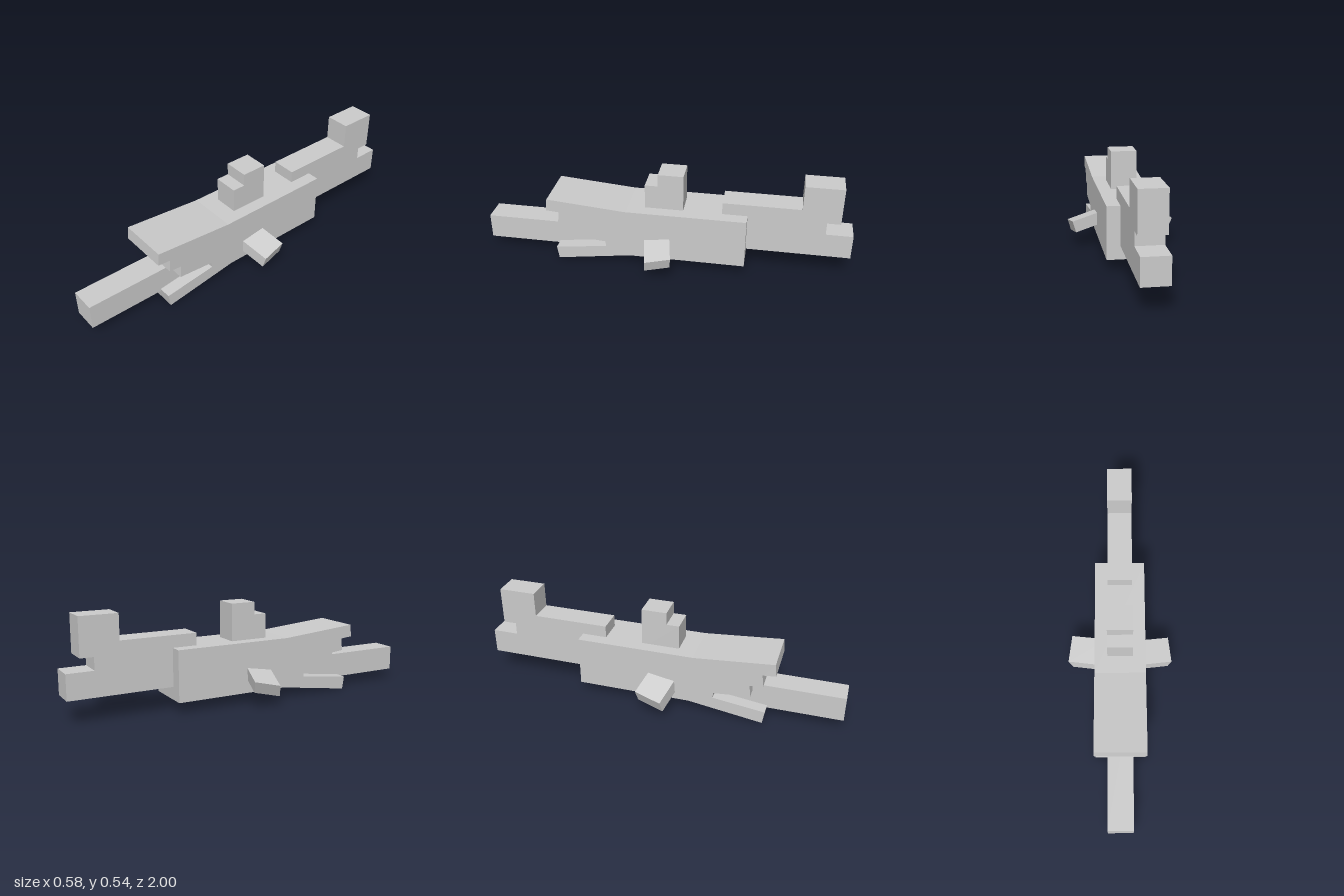
import * as THREE from 'three';

const material = new THREE.MeshStandardMaterial({ color: 0xcccccc, flatShading: true });

// Side profile of [z, y] points, extruded across x and centred on x = 0
function slab(name, halfWidth, points) {
  const shape = new THREE.Shape(points.map(([z, y]) => new THREE.Vector2(z, y)));
  const geometry = new THREE.ExtrudeGeometry(shape, { depth: halfWidth * 2, bevelEnabled: false });
  geometry.translate(0, 0, -halfWidth).rotateY(-Math.PI / 2);
  const mesh = new THREE.Mesh(geometry, material);
  mesh.name = name;
  return mesh;
}

// Slanted block given by one outer corner and the three edges leaving it
function slantedBlock(name, corner, u, v, w) {
  const [c, a, b, d] = [corner, u, v, w].map((p) => new THREE.Vector3(...p));
  const geometry = new THREE.BoxGeometry(1, 1, 1).translate(0.5, 0.5, 0.5);
  geometry.applyMatrix4(new THREE.Matrix4().makeBasis(a, b, d).setPosition(c));
  const mesh = new THREE.Mesh(geometry, material);
  mesh.name = name;
  return mesh;
}

export function createModel() {
  const group = new THREE.Group();
  const wide = 0.137, narrow = 0.068;

  // Body with open, stepped jaws at the front
  group.add(slab('body', wide, [
    [-0.445, 0.06], [0.18, 0.06],
    [0.586, 0.0], [0.597, 0.07], [0.313, 0.107],
    [0.316, 0.137], [0.514, 0.154], [0.507, 0.222],
    [0.577, 0.229], [0.57, 0.297], [0.639, 0.303],
    [0.632, 0.371], [0.2, 0.335], [-0.445, 0.335],
  ]));

  // Barrel reaching out of the jaws
  group.add(slab('barrel', narrow, [[0.25, 0.056], [1, 0.056], [1, 0.193], [0.25, 0.193]]));

  // Stepped sight on top of the body
  group.add(slab('sight', narrow, [
    [-0.102, 0.3], [0.105, 0.3], [0.105, 0.469], [0.035, 0.469], [0.035, 0.537], [-0.102, 0.537],
  ]));

  // Tail stock with raised block and rear notch
  group.add(slab('tail', narrow, [
    [-1, 0.13], [-0.31, 0.13], [-0.31, 0.401], [-0.725, 0.401], [-0.725, 0.537],
    [-0.928, 0.537], [-0.928, 0.333], [-0.857, 0.333], [-0.857, 0.265], [-1, 0.265],
  ]));

  // Drooping side fins, slightly different in tilt
  group.add(slantedBlock('leftFin', [0.29, 0.128, 0.07],
    [-0.018, 0.024, -0.135], [-0.018, -0.063, 0.005], [-0.2, 0.054, 0.039]));
  group.add(slantedBlock('rightFin', [-0.291, 0.12, 0.065],
    [0.023, -0.063, 0.01], [0.021, 0.033, -0.142], [0.2, 0.066, 0.045]));

  return group;
}
